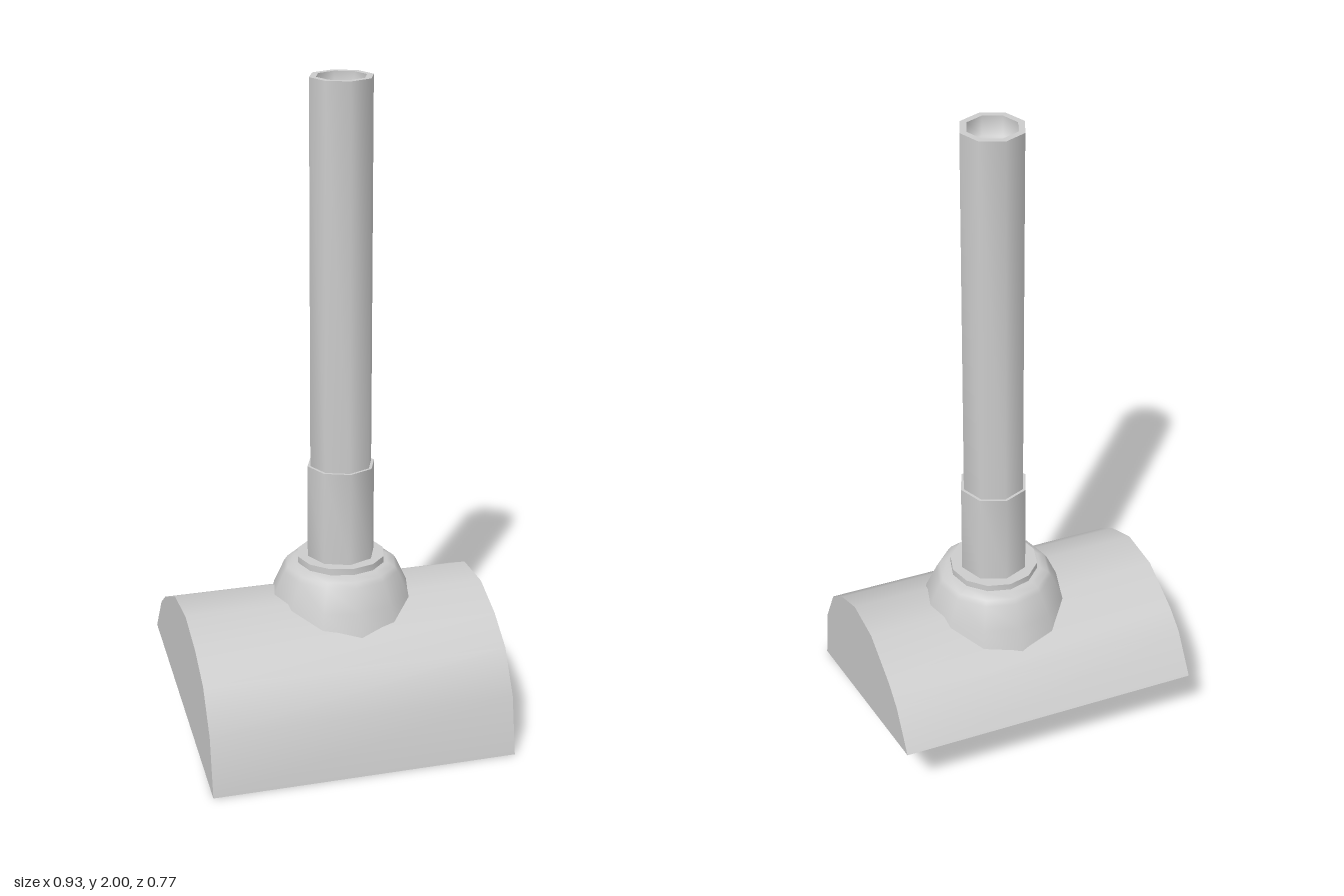
import * as THREE from 'three';
import { toCreasedNormals } from 'three/addons/utils/BufferGeometryUtils.js';

const material = new THREE.MeshStandardMaterial({ color: 0xcccccc });
const toPoints = (list) => list.map(([a, b]) => new THREE.Vector2(a, b));

function addMesh(parent, name, geometry) {
  const mesh = new THREE.Mesh(geometry, material);
  mesh.name = name;
  parent.add(mesh);
}

// Turned part from a bottom-to-top (radius, height) profile, hard edges kept
function turned(profile, sides) {
  return toCreasedNormals(new THREE.LatheGeometry(toPoints(profile), sides), 0.95);
}

export function createModel() {
  const model = new THREE.Group();
  model.name = 'pipeOnSaddle';

  // Tilted half-round base: (z, y) section swept along x
  const section = new THREE.Shape(toPoints([
    [0.387, 0], [0.355, 0.18], [0.282, 0.307], [0.185, 0.377], [0.06, 0.43],
    [-0.09, 0.43], [-0.24, 0.362], [-0.302, 0.317], [-0.385, 0.2],
  ]));
  const base = new THREE.ExtrudeGeometry(section, { depth: 0.93, bevelEnabled: false });
  base.rotateY(-Math.PI / 2);
  base.translate(0.465, 0, 0);
  addMesh(model, 'base', toCreasedNormals(base, 0.7));

  // Upright assembly, slightly off centre
  const upright = new THREE.Group();
  upright.name = 'upright';
  upright.position.set(0.038, 0, -0.02);
  model.add(upright);

  addMesh(upright, 'boss', turned([
    [0, 0.32], [0.238, 0.32], [0.21, 0.43], [0.178, 0.5], [0.168, 0.515], [0.145, 0.525], [0, 0.525],
  ], 12));
  addMesh(upright, 'flange', turned([[0.134, 0.52], [0.134, 0.545], [0, 0.545]], 12));
  addMesh(upright, 'collar', turned([[0.104, 0.54], [0.104, 0.835], [0.09, 0.835]], 8));
  addMesh(upright, 'pipe', turned([[0.095, 0.83], [0.095, 2], [0.075, 2]], 8));

  // Shallow bore at the pipe's top, softly shaded
  addMesh(upright, 'bore', new THREE.LatheGeometry(
    toPoints([[0.075, 2], [0.075, 1.94], [0, 1.94]]), 8));

  return model;
}
